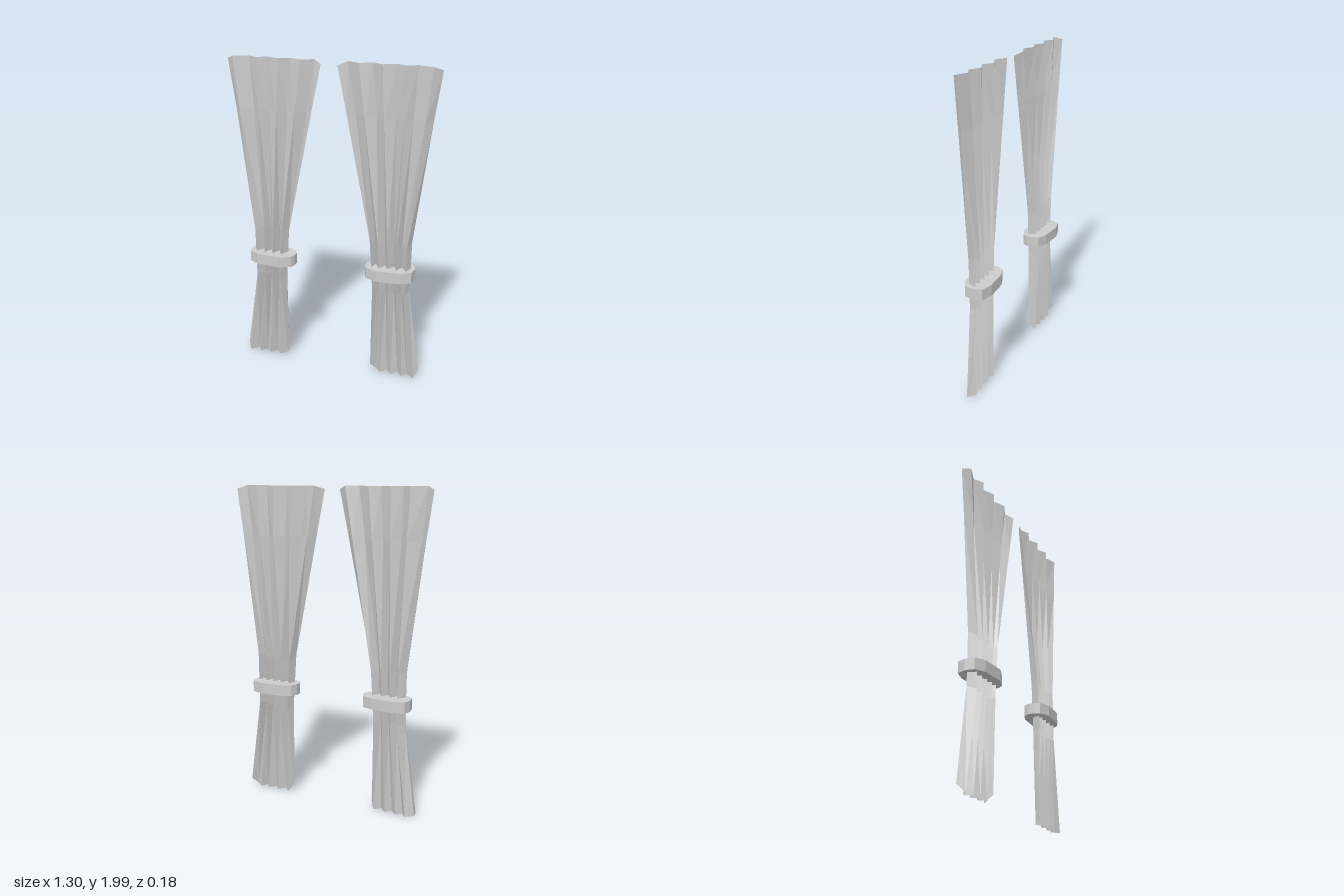
import * as THREE from 'three';

// Curtain rows from top to hem: height, inner edge, outer edge, lift of the two edges, fold depth
const ROWS = [
  { y: 2.0, inner: 0.05, outer: 0.648, lift: -0.02, back: -0.013, front: 0.025 },
  { y: 1.69, inner: 0.11, outer: 0.608, lift: 0, back: -0.014, front: 0.028 },
  { y: 0.91, inner: 0.262, outer: 0.515, lift: 0.03, back: -0.018, front: 0.033 },
  { y: 0.59, inner: 0.285, outer: 0.51, lift: 0.02, back: -0.02, front: 0.034 },
  { y: 0.005, inner: 0.282, outer: 0.592, lift: 0.045, back: -0.014, front: 0.027 },
];
// Position of each fold line across the width, inner to outer
const FOLDS = [0, 0.085, 0.21, 0.335, 0.44, 0.565, 0.675, 0.765, 0.92, 1];

// Outline of the tie-back seen from above, [x, z]
const TIE = [
  [0.232, -0.015], [0.25, -0.055], [0.31, -0.08], [0.45, -0.09], [0.525, -0.07], [0.54, -0.02],
  [0.53, 0.04], [0.47, 0.073], [0.32, 0.085], [0.25, 0.055], [0.234, 0.025],
];

// Pleated sheet; side is +1 or -1
function curtainGeometry(side) {
  const positions = [];
  const index = [];
  const n = FOLDS.length;
  ROWS.forEach((row, r) => {
    FOLDS.forEach((t, i) => {
      const atEdge = i === 0 || i === n - 1;
      const x = row.inner + (row.outer - row.inner) * t;
      const hem = r === ROWS.length - 1 ? 0.008 * (1 - t) : 0;
      positions.push(side * x, row.y + hem + (atEdge ? row.lift : 0), i % 2 ? row.back : row.front);
      if (r > 0 && i > 0) {
        const d = r * n + i, c = d - 1, b = d - n, a = b - 1;
        if (side > 0) index.push(a, c, b, b, c, d);
        else index.push(a, b, c, b, d, c);
      }
    });
  });
  const geometry = new THREE.BufferGeometry();
  geometry.setAttribute('position', new THREE.Float32BufferAttribute(positions, 3));
  geometry.setIndex(index);
  const flat = geometry.toNonIndexed();
  flat.computeVertexNormals();
  return flat;
}

// Solid faceted band around the waist
function tieGeometry(side) {
  const shape = new THREE.Shape(TIE.map(([x, z]) => new THREE.Vector2(side * x, -z)));
  const geometry = new THREE.ExtrudeGeometry(shape, { depth: 0.07, bevelEnabled: false });
  return geometry.rotateX(-Math.PI / 2).translate(0, 0.69, 0);
}

export function createModel() {
  const group = new THREE.Group();
  group.name = 'curtains';
  const cloth = new THREE.MeshStandardMaterial({ color: 0xcccccc, flatShading: true, side: THREE.DoubleSide });
  const band = new THREE.MeshStandardMaterial({ color: 0xcccccc, flatShading: true });

  for (const [side, label] of [[1, 'left'], [-1, 'right']]) {
    const curtain = new THREE.Mesh(curtainGeometry(side), cloth);
    curtain.name = `${label}Curtain`;
    const tie = new THREE.Mesh(tieGeometry(side), band);
    tie.name = `${label}TieBack`;
    group.add(curtain, tie);
  }
  return group;
}
